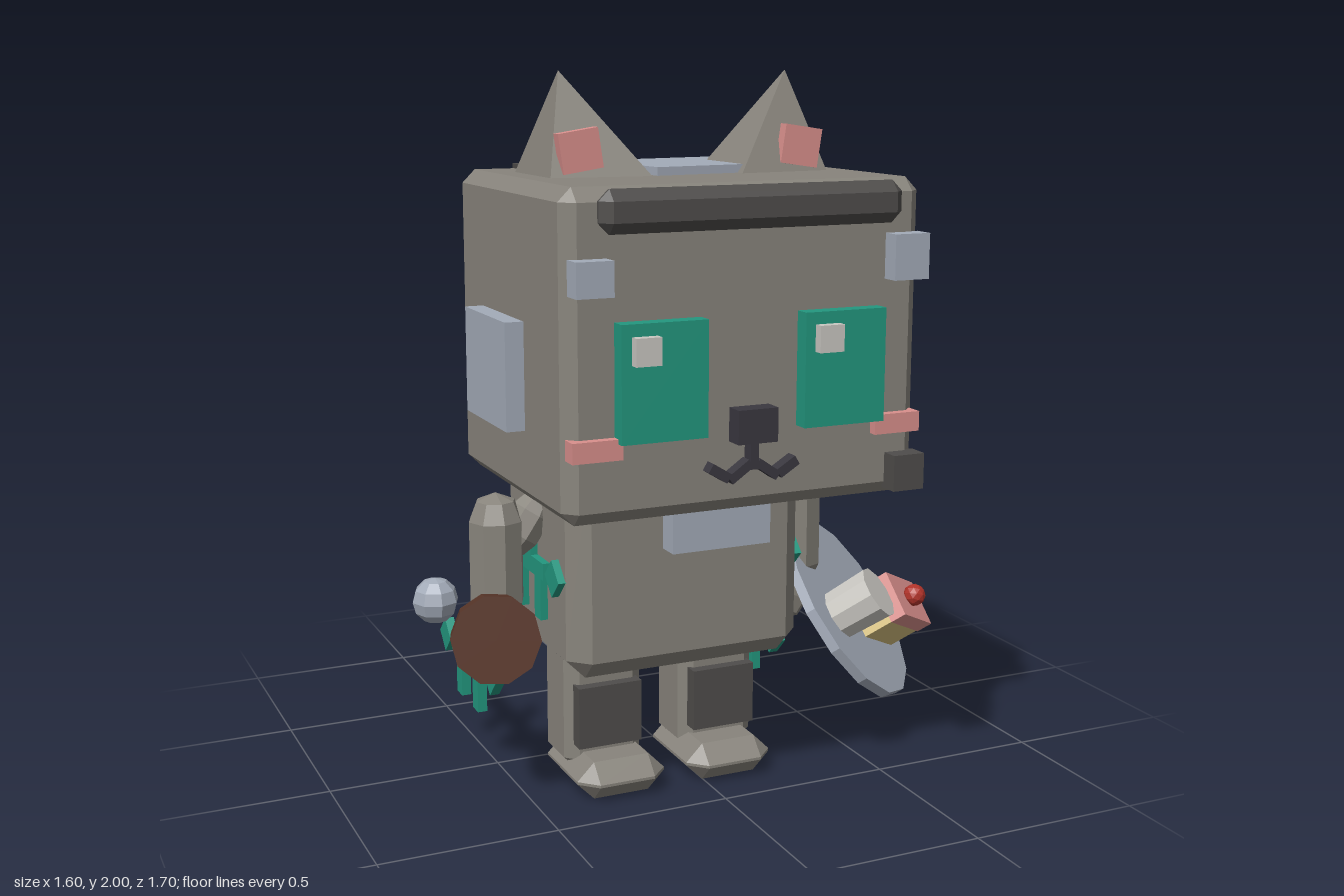
import * as THREE from 'three';
import { ConvexGeometry } from 'three/addons/geometries/ConvexGeometry.js';

const V = (x, y, z) => new THREE.Vector3(x, y, z);
const C = -0.087; // centre line of the character

export function createModel() {
  const root = new THREE.Group();
  root.name = 'blockCat';
  const mat = (name, color) => {
    const m = new THREE.MeshStandardMaterial({ color, flatShading: true });
    m.name = name;
    return m;
  };
  const fur = mat('warmGrey', 0x88847c), blue = mat('paleBlue', 0xa3abb8);
  const teal = mat('teal', 0x23977f), pink = mat('pink', 0xd98f8c);
  const coal = mat('charcoal', 0x4f4d4b), ink = mat('ink', 0x3a3840);
  const cream = mat('cream', 0xc9c7c1), sponge = mat('spongeYellow', 0xd6c07f);
  const brown = mat('brown', 0x593629), red = mat('red', 0xb0332a);

  const add = (name, geo, m, pos = V(0, 0, 0), parent = root) => {
    const mesh = new THREE.Mesh(geo, m);
    mesh.name = name;
    mesh.position.copy(pos);
    parent.add(mesh);
    return mesh;
  };
  // Box from its minimum and maximum corners, optionally turned about its centre
  const box = (name, m, [x0, x1], [y0, y1], [z0, z1], rot = [0, 0, 0]) => {
    const mesh = add(name, new THREE.BoxGeometry(x1 - x0, y1 - y0, z1 - z0), m,
      V((x0 + x1) / 2, (y0 + y1) / 2, (z0 + z1) / 2));
    mesh.rotation.set(...rot);
    return mesh;
  };
  // Box with every edge cut at 45 degrees
  const bevelBox = (name, m, [x0, x1], [y0, y1], [z0, z1], c) => {
    const h = [(x1 - x0) / 2, (y1 - y0) / 2, (z1 - z0) / 2];
    const pts = [];
    for (let i = 0; i < 8; i++) {
      const s = [i & 1 ? 1 : -1, i & 2 ? 1 : -1, i & 4 ? 1 : -1];
      for (let full = 0; full < 3; full++) {
        pts.push(V(...h.map((v, k) => s[k] * (k === full ? v : v - c))));
      }
    }
    return add(name, new ConvexGeometry(pts), m, V((x0 + x1) / 2, (y0 + y1) / 2, (z0 + z1) / 2));
  };
  const aim = (mesh, a, b) => {
    mesh.position.copy(a).add(b).multiplyScalar(0.5);
    mesh.quaternion.setFromUnitVectors(V(0, 1, 0), b.clone().sub(a).normalize());
    return mesh;
  };
  const limb = (name, a, b, r) =>
    aim(add(name, new THREE.CapsuleGeometry(r, a.distanceTo(b), 2, 8), fur), a, b);
  const frustum = (name, m, a, b, r0, r1, n = 10) =>
    aim(add(name, new THREE.CylinderGeometry(r1, r0, a.distanceTo(b), n), m), a, b);

  // Head, torso and fitted panels
  bevelBox('head', fur, [-0.58, 0.406], [0.912, 1.735], [0, 0.785], 0.035);
  bevelBox('torso', fur, [-0.435, 0.261], [0.38, 1.085], [-0.085, 0.455], 0.055);
  box('chestPatch', blue, [-0.173, 0.118], [0.735, 0.98], [0.44, 0.52]);
  box('backPanel', coal, [-0.29, 0.045], [0.67, 0.92], [-0.143, -0.07]);
  box('sidePanelDark', coal, [0.39, 0.455], [1.225, 1.54], [0.12, 0.465]);
  box('sidePanelLight', blue, [-0.63, -0.57], [1.105, 1.385], [0.19, 0.505]);
  box('crownPatchLight', blue, [-0.22, 0.15], [1.72, 1.757], [0.115, 0.46], [0, 0.11, 0]);
  box('crownPatchDark', coal, [-0.44, -0.205], [1.72, 1.748], [0.03, 0.2], [0, -0.11, 0]);
  bevelBox('browBar', coal, [-0.5, 0.325], [1.625, 1.732], [0.775, 0.838], 0.028);

  // Face
  box('templePatch', blue, [-0.567, -0.47], [1.48, 1.567], [0.775, 0.835]);
  box('templePatch', blue, [0.297, 0.397], [1.48, 1.597], [0.775, 0.835]);
  box('jawPatch', coal, [0.31, 0.4], [0.93, 1.025], [0.775, 0.835]);
  box('nose', ink, [C - 0.055, C + 0.055], [1.095, 1.182], [0.775, 0.838]);
  box('mouthStem', ink, [C - 0.011, C + 0.011], [1.025, 1.1], [0.775, 0.82]);
  for (const s of [-1, 1]) {
    const e = C + s * 0.249, k = C + s * 0.418;
    box('eye', teal, [e - 0.115, e + 0.115], [1.12, 1.413], [0.775, 0.83]);
    box('eyeGlint', cream, [e - 0.088, e - 0.02], [1.313, 1.382], [0.82, 0.856]);
    box('cheek', pink, [k - 0.066, k + 0.066], [1.08, 1.132], [0.762, 0.81]);
    const a = C + s * 0.038, b = C + s * 0.095;
    box('mouthInner', ink, [a - 0.035, a + 0.035], [1.01, 1.034], [0.775, 0.82], [0, 0, -s * 0.6]);
    box('mouthOuter', ink, [b - 0.03, b + 0.03], [1.01, 1.036], [0.775, 0.82], [0, 0, s * 0.55]);

    // Ear: leaning pyramid with a pink tile
    const ear = [[0.4, 0.18], [0.118, 0.215], [0.118, 0.49], [0.4, 0.46]]
      .map(([x, z]) => V(C + s * x, 1.72, z));
    add('ear', new ConvexGeometry([...ear, V(C + s * 0.328, 2, 0.335)]), fur);
    const p = C + s * 0.316;
    box('innerEar', pink, [p - 0.055, p + 0.055], [1.75, 1.853], [0.428, 0.46], [0, 0, -s * 0.15]);

    // Leg, knee panel and foot
    const l = C + s * 0.177, f = C + s * 0.167;
    bevelBox('leg', fur, [l - 0.116, l + 0.116], [0.05, 0.45], [0.068, 0.268], 0.035);
    box('kneePanel', coal, [l - 0.095, l + 0.095], [0.13, 0.308], [0.255, 0.3]);
    bevelBox('foot', fur, [f - 0.132, f + 0.132], [0, 0.108], [0.068, 0.4], 0.05);

    // Arm
    limb('shoulder', V(C + s * 0.36, 0.8, 0.18), V(C + s * 0.4, 0.74, 0.18), 0.06);
    limb('arm', V(C + s * 0.466, 0.79, 0.18), V(C + s * 0.466, 0.56, 0.18), 0.077);
    limb('hand', V(C + s * 0.455, 0.52, 0.18), V(C + s * 0.43, 0.46, 0.2), 0.065);

    // Branching trims: spine, alternating prongs and diamond ends
    for (const [off, y, z, half] of [[0.355, 0.655, 0.165, 0.185], [0.449, 0.3, -0.12, 0.21]]) {
      const x = C + s * off, xr = [x - 0.014, x + 0.014];
      box('trimSpine', teal, xr, [y - 0.024, y + 0.024], [z - half + 0.065, z + half - 0.065]);
      box('trimProngUp', teal, xr, [y, y + 0.14], [z - 0.024, z + 0.024]);
      for (const d of [-1, 1]) {
        const w = z + d * 0.075, q = z + d * half;
        box('trimProngDown', teal, xr, [y - 0.143, y], [w - 0.024, w + 0.024]);
        box('trimDiamond', teal, xr, [y - 0.037, y + 0.037], [q - 0.037, q + 0.037], [Math.PI / 4, 0, 0]);
      }
    }
  }

  // Tail of overlapping segments
  const tail = [V(-0.09, 0.49, -0.06), V(-0.09, 0.445, -0.3), V(-0.095, 0.475, -0.5),
    V(-0.09, 0.59, -0.645), V(-0.05, 0.86, -0.735), V(0, 1.05, -0.737)];
  for (let i = 0; i < 5; i++) {
    const a = tail[i], b = tail[i + 1];
    frustum('tailSegment', fur, a, b, 0.118 - i * 0.003, 0.112 - i * 0.003, 8);
    add('tailJoint', new THREE.SphereGeometry(0.106, 8, 4), fur, b);
  }

  // Faceted pompoms behind the torso
  add('pompomDark', new THREE.IcosahedronGeometry(0.125), ink, V(-0.255, 0.64, -0.275)).scale.y = 0.85;
  add('pompomGrey', new THREE.IcosahedronGeometry(0.14), coal, V(0.06, 0.64, -0.275)).scale.y = 0.75;
  add('pompomGem', new THREE.IcosahedronGeometry(0.065), teal, V(-0.2, 0.735, -0.3)).scale.y = 0.6;

  // Tilted tray with a cup and a slice of cake
  const tray = new THREE.Group();
  tray.name = 'tray';
  const n = V(0.62, 0.58, 0.54).normalize();
  const along = V(0.77, -0.41, -0.48).projectOnPlane(n).normalize();
  tray.quaternion.setFromRotationMatrix(
    new THREE.Matrix4().makeBasis(along, n, along.clone().cross(n)));
  tray.position.set(0.545, 0.405, 0.21);
  root.add(tray);
  add('trayDisc', new THREE.CylinderGeometry(0.3, 0.3, 0.03, 14), blue, V(0, 0, 0), tray);
  add('cup', new THREE.CylinderGeometry(0.08, 0.075, 0.14, 10), cream, V(-0.123, 0.085, 0.058), tray);
  add('cakeSponge', new THREE.BoxGeometry(0.185, 0.1, 0.14), sponge, V(0.1, 0.06, 0.042), tray);
  add('cakeIcing', new THREE.BoxGeometry(0.195, 0.05, 0.145), pink, V(0.1, 0.135, 0.042), tray);
  add('cherry', new THREE.IcosahedronGeometry(0.034, 1), red, V(0.1, 0.18, 0.042), tray);

  // Flared tumbler in the other hand
  const a = V(-0.565, 0.475, 0.12), b = V(-0.632, 0.522, 0.4);
  const at = (t) => a.clone().lerp(b, t);
  frustum('tumblerBase', coal, at(0), at(0.4), 0.06, 0.09);
  frustum('tumblerBand', cream, at(0.4), at(0.6), 0.095, 0.108);
  frustum('tumblerTop', brown, at(0.6), at(1), 0.112, 0.122);
  add('tumblerBall', new THREE.SphereGeometry(0.064, 8, 6), blue, V(-0.733, 0.585, 0.19));
  return root;
}
